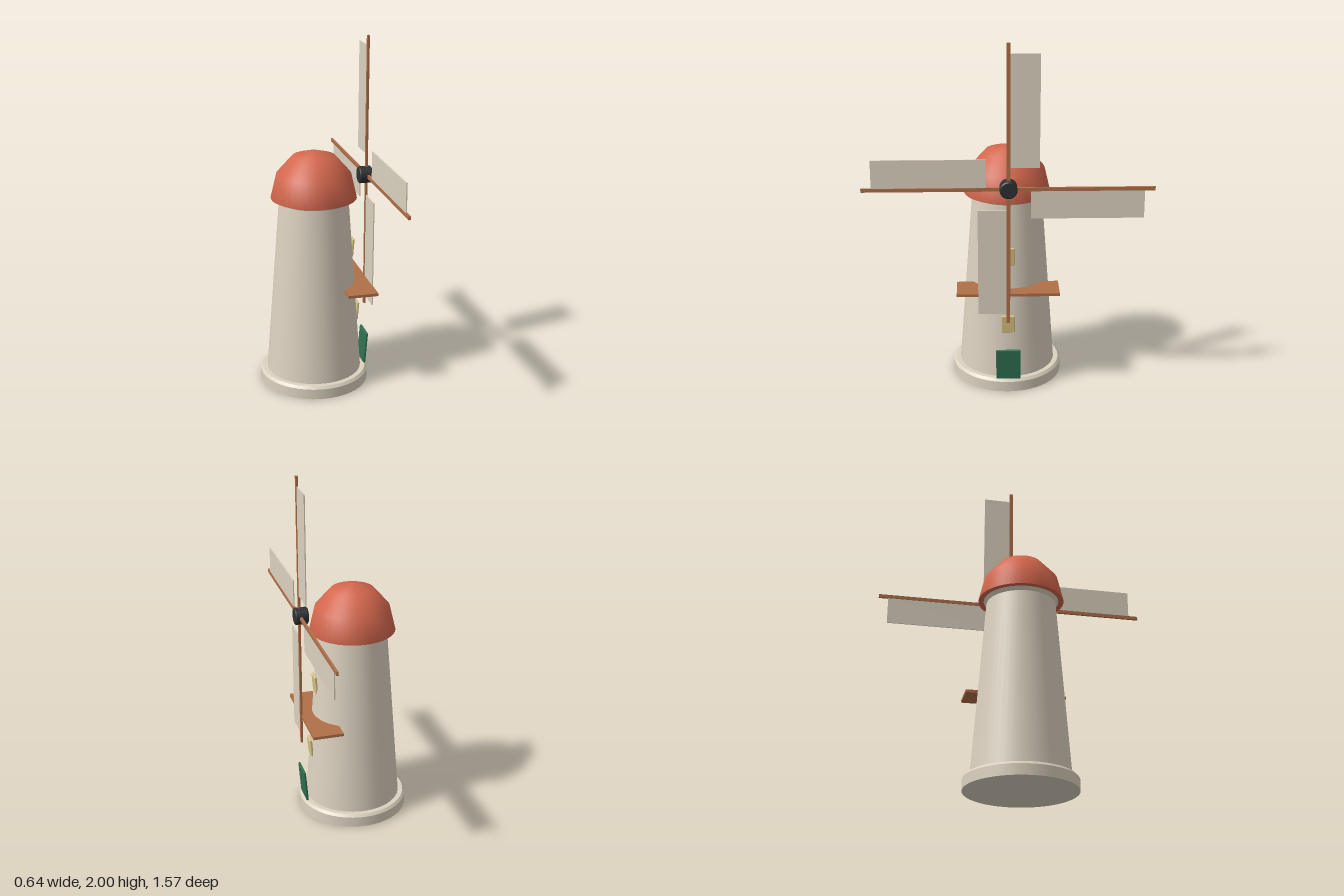
import * as THREE from 'three';
import { RoundedBoxGeometry } from 'three/addons/geometries/RoundedBoxGeometry.js';

const CX = -0.012;    // tower axis
const SAIL_X = 0.292; // plane of the sails
const HUB_Y = 1.215;

function material(name, color) {
  const m = new THREE.MeshStandardMaterial({ color });
  m.name = name;
  return m;
}

export function createModel() {
  const plaster = material('plaster', 0xdcd2c0);
  const red = material('red roof', 0xd4674d);
  const wood = material('wood', 0xb06f48);
  const iron = material('dark iron', 0x2d2f32);
  const green = material('green paint', 0x2f7050);
  const yellow = material('window yellow', 0xdcc684);

  const model = new THREE.Group();
  model.name = 'windmill';

  const add = (parent, name, geometry, mat, x = 0, y = 0, z = 0) => {
    const mesh = new THREE.Mesh(geometry, mat);
    mesh.name = name;
    mesh.position.set(x, y, z);
    parent.add(mesh);
    return mesh;
  };
  // Round section standing between two heights
  const drum = (name, r0, y0, r1, y1, open = false) => add(model, name,
    new THREE.CylinderGeometry(r1, r0, y1 - y0, 48, 1, open), plaster, CX, (y0 + y1) / 2, 0);

  // Plinth with a bevelled top edge, tapering tower and its collar
  drum('plinth', 0.3125, 0, 0.3125, 0.06);
  drum('plinthBevel', 0.3125, 0.06, 0.3, 0.075);
  drum('tower', 0.273, 0.07, 0.196, 1.09);
  drum('collar', 0.196, 1.085, 0.212, 1.105);

  // Domed roof built from three rings, closed underneath
  const dome = new THREE.SphereGeometry(1, 40, 3, 0, Math.PI * 2, 0, Math.PI / 2);
  dome.scale(0.242, 0.275, 0.242);
  add(model, 'roof', dome, red, CX, 1.105, 0);
  const soffit = new THREE.CircleGeometry(0.242, 40);
  soffit.rotateX(Math.PI / 2);
  add(model, 'roofUnderside', soffit, red, CX, 1.105, 0);

  // Balcony running into the tower wall
  add(model, 'balcony', new THREE.BoxGeometry(0.172, 0.016, 0.57), wood, 0.206, 0.597, 0);

  // Door and windows, leaning slightly outwards
  const panel = (name, mat, x, y, h, w) => {
    const mesh = add(model, name, new RoundedBoxGeometry(0.014, h, w, 2, 0.005), mat, x, y, 0);
    mesh.rotation.z = -0.08;
  };
  panel('door', green, 0.286, 0.166, 0.188, 0.137);
  panel('lowerWindow', yellow, 0.242, 0.397, 0.105, 0.076);
  panel('upperWindow', yellow, 0.209, 0.793, 0.105, 0.076);

  // Sail wheel: hub and four arms, each with a sail on its trailing side
  const wheel = new THREE.Group();
  wheel.name = 'sailWheel';
  wheel.position.set(SAIL_X, HUB_Y, 0);
  model.add(wheel);

  const hubProfile = [[0, -0.046], [0.042, -0.046], [0.048, -0.04], [0.048, 0.022], [0.042, 0.028], [0, 0.028]];
  for (let i = 0; i < hubProfile.length - 1; i++) {
    const pair = hubProfile.slice(i, i + 2).map(([r, y]) => new THREE.Vector2(r, y));
    const ring = new THREE.LatheGeometry(pair, 24);
    ring.rotateZ(-Math.PI / 2);
    add(wheel, 'hub', ring, iron);
  }

  for (let i = 0; i < 4; i++) {
    const arm = new THREE.Group();
    arm.name = 'sailArm';
    arm.rotation.x = i * Math.PI / 2;
    add(arm, 'spar', new THREE.BoxGeometry(0.012, 0.785, 0.02), wood, 0, 0.3925, 0);
    add(arm, 'sail', new THREE.BoxGeometry(0.006, 0.61, 0.156), plaster, 0, 0.425, -0.088);
    wheel.add(arm);
  }

  return model;
}
